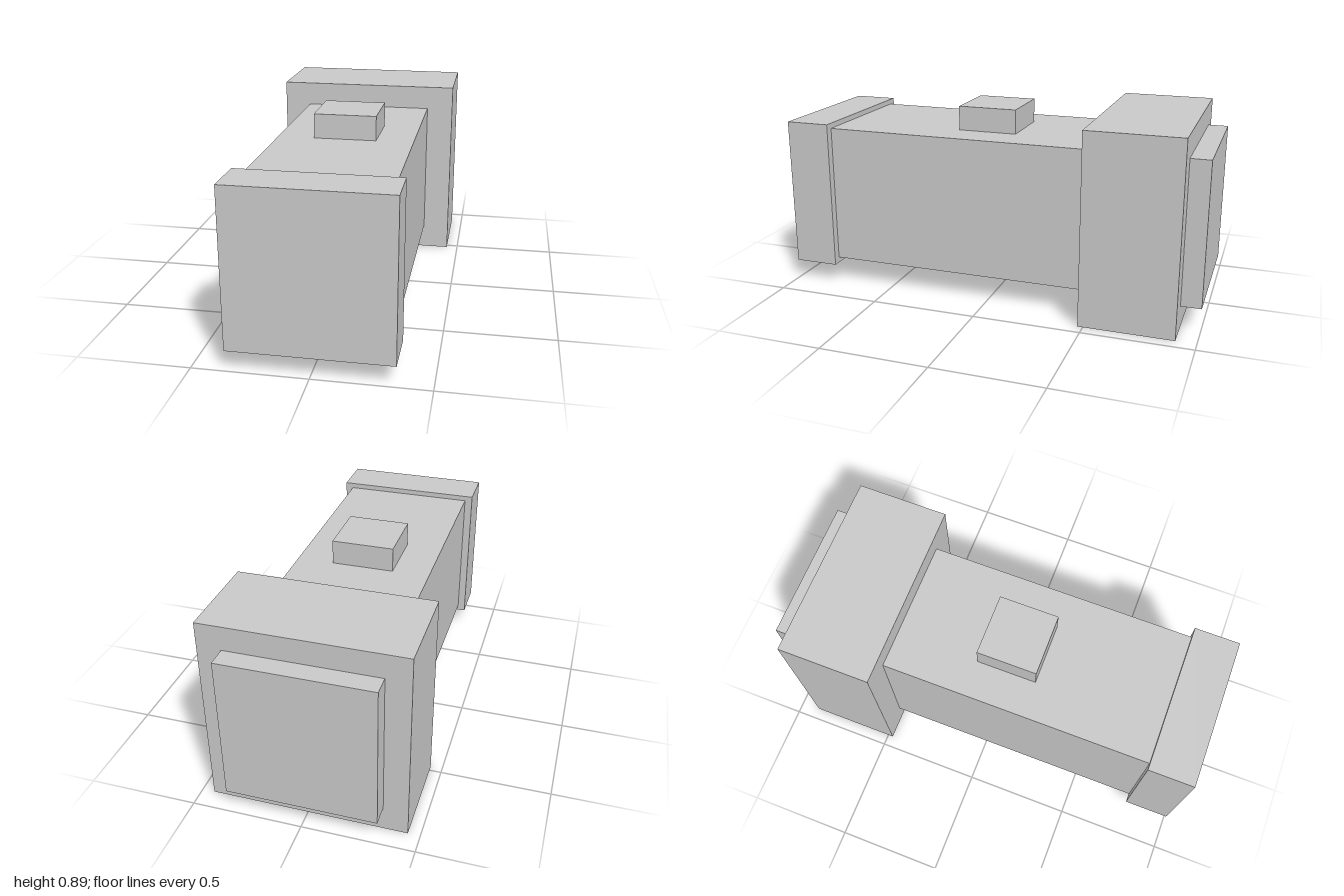
import * as THREE from 'three';

export function createModel() {
  const group = new THREE.Group();
  const grey = new THREE.MeshStandardMaterial({ color: 0xc8c8c8 });
  grey.name = 'light grey';

  // Box given by its extents along each axis
  const addBox = (name, [x0, x1], [y0, y1], [z0, z1]) => {
    const mesh = new THREE.Mesh(new THREE.BoxGeometry(x1 - x0, y1 - y0, z1 - z0), grey);
    mesh.position.set((x0 + x1) / 2, (y0 + y1) / 2, (z0 + z1) / 2);
    mesh.name = name;
    group.add(mesh);
  };

  // Long square barrel with a collar at the front end
  addBox('barrel', [-0.317, 0.315], [0.12, 0.778], [-0.475, 0.788]);
  addBox('frontCollar', [-0.354, 0.352], [0.093, 0.803], [0.788, 1]);

  // Wide head and the raised plate on its back
  addBox('head', [-0.446, 0.444], [0, 0.892], [-0.908, -0.475]);
  addBox('backPlate', [-0.337, 0.335], [0.115, 0.782], [-1, -0.908]);

  // Button on top of the barrel
  addBox('button', [-0.146, 0.143], [0.778, 0.892], [-0.083, 0.197]);

  return group;
}
